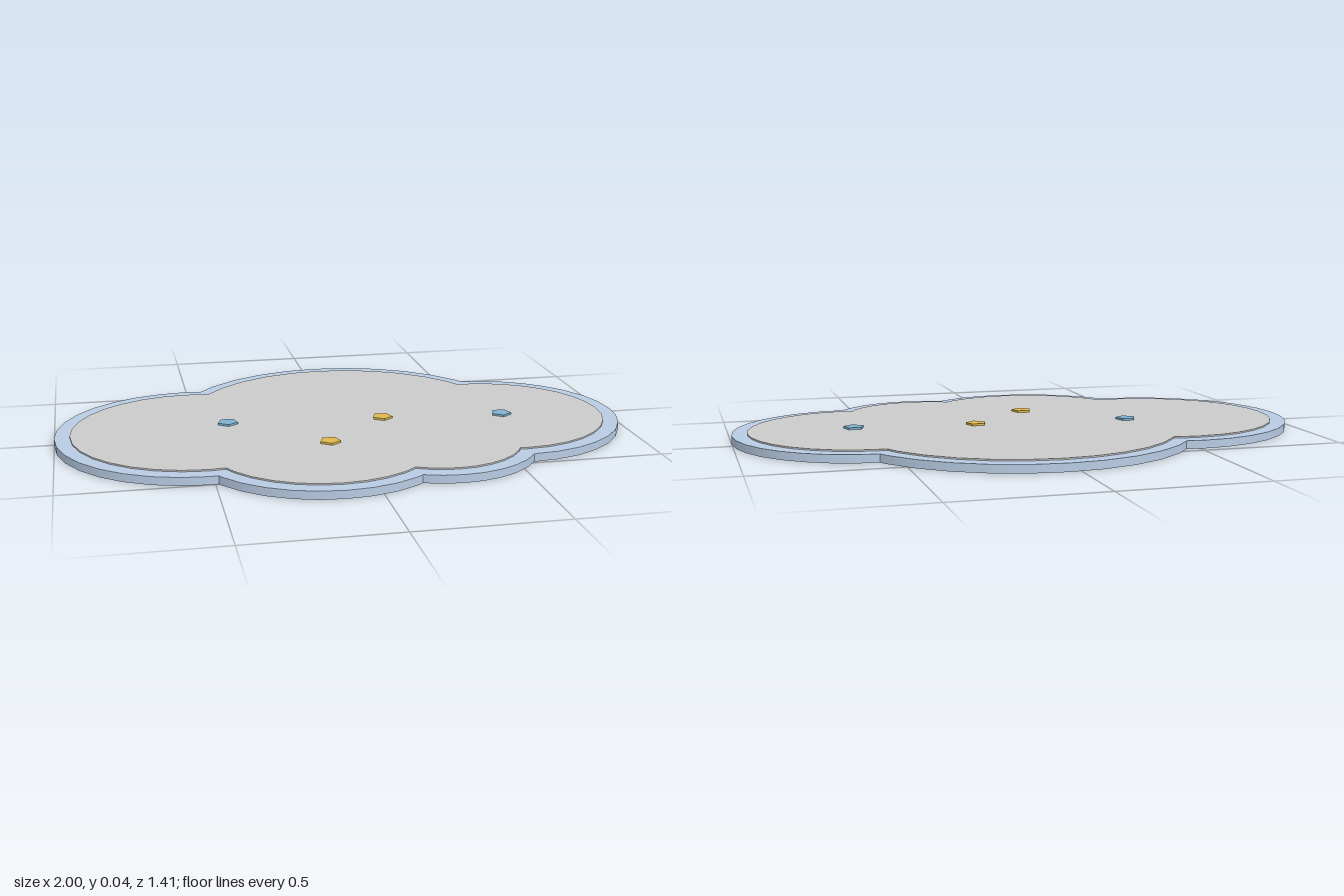
import * as THREE from 'three';

// Lobes of the cloud outline: x, z, radius
const LOBES = [
  [-0.515, 0.015, 0.485],
  [0.55, 0.04, 0.45],
  [0.04, -0.09, 0.62],
  [-0.12, 0.27, 0.435],
  [0.27, 0.295, 0.345],
];

// Small pentagonal studs: x, z, material key
const STUDS = [
  [-0.4, -0.025, 'blue'],
  [0.58, 0.055, 'blue'],
  [0.15, 0.015, 'yellow'],
  [-0.085, 0.25, 'yellow'],
];

function disc(name, x, z, radius, y0, y1, sides, material) {
  const mesh = new THREE.Mesh(new THREE.CylinderGeometry(radius, radius, y1 - y0, sides), material);
  mesh.name = name;
  mesh.position.set(x, (y0 + y1) / 2, z);
  return mesh;
}

export function createModel() {
  const model = new THREE.Group();
  model.name = 'cloudPlate';
  const rimMaterial = new THREE.MeshStandardMaterial({ color: 0xb8cce4 });
  const topMaterial = new THREE.MeshStandardMaterial({ color: 0xcccccc });
  const studMaterials = {
    blue: new THREE.MeshStandardMaterial({ color: 0x7fb2d0 }),
    yellow: new THREE.MeshStandardMaterial({ color: 0xe0b84c }),
  };

  // Base slab, its edge showing as a rim around the raised top
  const base = new THREE.Group();
  base.name = 'base';
  // Raised inner surface, inset evenly from the rim
  const surface = new THREE.Group();
  surface.name = 'topSurface';
  for (const [x, z, r] of LOBES) {
    base.add(disc('baseLobe', x, z, r, 0, 0.028, 32, rimMaterial));
    surface.add(disc('topLobe', x, z, r - 0.053, 0.004, 0.033, 32, topMaterial));
  }

  // Studs scattered on the top
  const studs = new THREE.Group();
  studs.name = 'studs';
  for (const [x, z, key] of STUDS) {
    const stud = disc('stud', x, z, 0.037, 0.03, 0.04, 5, studMaterials[key]);
    stud.material.flatShading = true;
    studs.add(stud);
  }

  model.add(base, surface, studs);
  return model;
}
